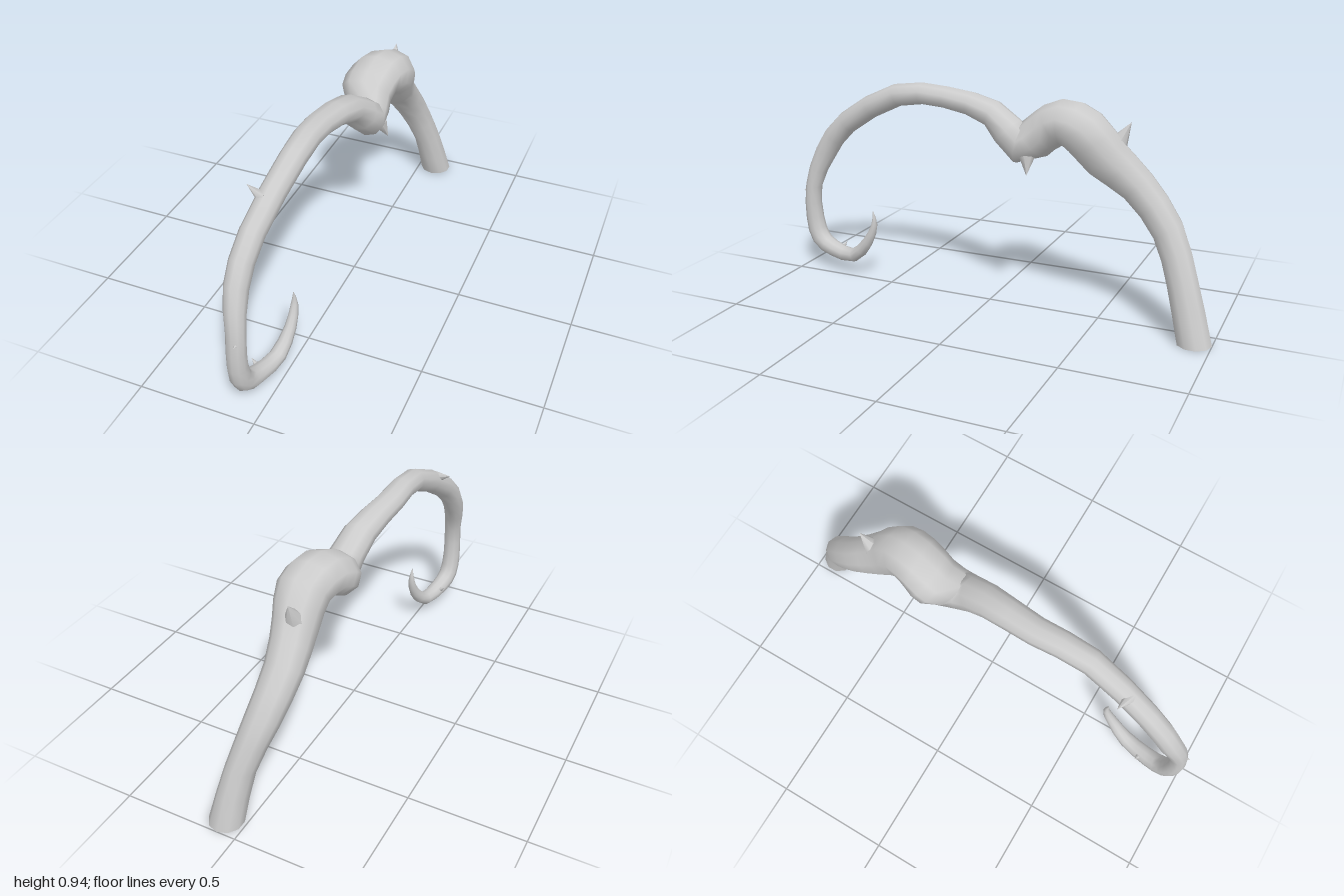
import * as THREE from 'three';

const SIDES = 10;
const STEPS_PER_KNOT = 2;
const material = new THREE.MeshStandardMaterial({ color: 0xcccccc });

// Knots from root to tip: [x, y, z, half-thickness in the bend plane, half-width in x]
const knots = [
  // stem
  [0.083, 0, -0.9275, 0.0725, 0.073],
  [0.045, 0.23, -0.86, 0.066, 0.062],
  [-0.012, 0.43, -0.775, 0.068, 0.072],
  [-0.035, 0.59, -0.64, 0.076, 0.08],
  [-0.012, 0.7, -0.51, 0.098, 0.093],
  // swollen knuckle
  [0, 0.8, -0.42, 0.103, 0.11],
  [-0.025, 0.83, -0.32, 0.095, 0.118],
  [-0.04, 0.785, -0.235, 0.09, 0.113],
  [0, 0.725, -0.14, 0.085, 0.082],
  // arch
  [-0.025, 0.838, 0, 0.057, 0.071],
  [-0.055, 0.883, 0.23, 0.048, 0.06],
  [-0.053, 0.875, 0.47, 0.05, 0.054],
  [-0.085, 0.72, 0.755, 0.052, 0.05],
  [-0.093, 0.565, 0.885, 0.051, 0.048],
  [-0.073, 0.4, 0.95, 0.037, 0.04],
  // hook
  [-0.075, 0.24, 0.955, 0.042, 0.041],
  [-0.073, 0.14, 0.925, 0.045, 0.043],
  [-0.06, 0.097, 0.845, 0.038, 0.041],
  [-0.033, 0.09, 0.72, 0.032, 0.035],
  [-0.015, 0.175, 0.63, 0.025, 0.024],
  [-0.013, 0.265, 0.59, 0.014, 0.015],
  [-0.013, 0.33, 0.595, 0.001, 0.001],
];

const spline = (points) => new THREE.CatmullRomCurve3(points, false, 'catmullrom', 0.5);

// Elliptical rings swept along the spine, skinned with smooth normals
function vineGeometry() {
  const spine = spline(knots.map(([x, y, z]) => new THREE.Vector3(x, y, z)));
  const radii = spline(knots.map(([, , , thick, wide]) => new THREE.Vector3(thick, wide, 0)));
  const rows = (knots.length - 1) * STEPS_PER_KNOT;
  const positions = [];
  const indices = [];
  for (let row = 0; row <= rows; row++) {
    const center = spine.getPoint(row / rows);
    const radius = radii.getPoint(row / rows);
    // The root ring lies flat on the ground
    const tangent = row === 0 ? new THREE.Vector3(0, 1, 0) : spine.getTangent(row / rows);
    const outward = new THREE.Vector3(0, tangent.z, -tangent.y).normalize();
    for (let j = 0; j < SIDES; j++) {
      const angle = (j / SIDES) * Math.PI * 2;
      const point = center.clone().addScaledVector(outward, Math.cos(angle) * radius.x);
      positions.push(point.x - Math.sin(angle) * radius.y, point.y, point.z);
      if (row === rows) continue;
      const a = row * SIDES + j;
      const b = row * SIDES + ((j + 1) % SIDES);
      indices.push(a, b, a + SIDES, b, b + SIDES, a + SIDES);
    }
  }
  const geometry = new THREE.BufferGeometry();
  geometry.setAttribute('position', new THREE.Float32BufferAttribute(positions, 3));
  geometry.setIndex(indices);
  geometry.computeVertexNormals();
  return geometry;
}

// Cone from a base point to a tip
function thorn(name, base, tip, radius) {
  const from = new THREE.Vector3(...base);
  const axis = new THREE.Vector3(...tip).sub(from);
  const length = axis.length();
  const geometry = new THREE.ConeGeometry(radius, length, 7).translate(0, length / 2, 0);
  const mesh = new THREE.Mesh(geometry, material);
  mesh.name = name;
  mesh.position.copy(from);
  mesh.quaternion.setFromUnitVectors(new THREE.Vector3(0, 1, 0), axis.normalize());
  return mesh;
}

export function createModel() {
  const group = new THREE.Group();
  group.name = 'thornyVine';

  const vine = new THREE.Mesh(vineGeometry(), material);
  vine.name = 'vine';
  group.add(vine);

  // Flat cut at the root
  const capGeometry = new THREE.CircleGeometry(0.073, SIDES).rotateX(Math.PI / 2).rotateY(Math.PI / 2);
  const cap = new THREE.Mesh(capGeometry, material);
  cap.name = 'rootCap';
  cap.position.set(0.083, 0, -0.9275);
  group.add(cap);

  group.add(
    thorn('backThorn', [-0.033, 0.755, -0.548], [-0.04, 0.85, -0.6], 0.042),
    thorn('archThorn', [-0.08, 0.81, 0.66], [-0.16, 0.84, 0.64], 0.028),
    thorn('knuckleThorn', [0.045, 0.68, -0.185], [0.078, 0.613, -0.197], 0.033),
    thorn('frontThorn', [-0.06, 0.373, 0.975], [-0.057, 0.376, 1.0], 0.01),
    thorn('hookThorn', [-0.075, 0.1, 0.81], [-0.105, 0.125, 0.8], 0.015),
  );
  return group;
}
